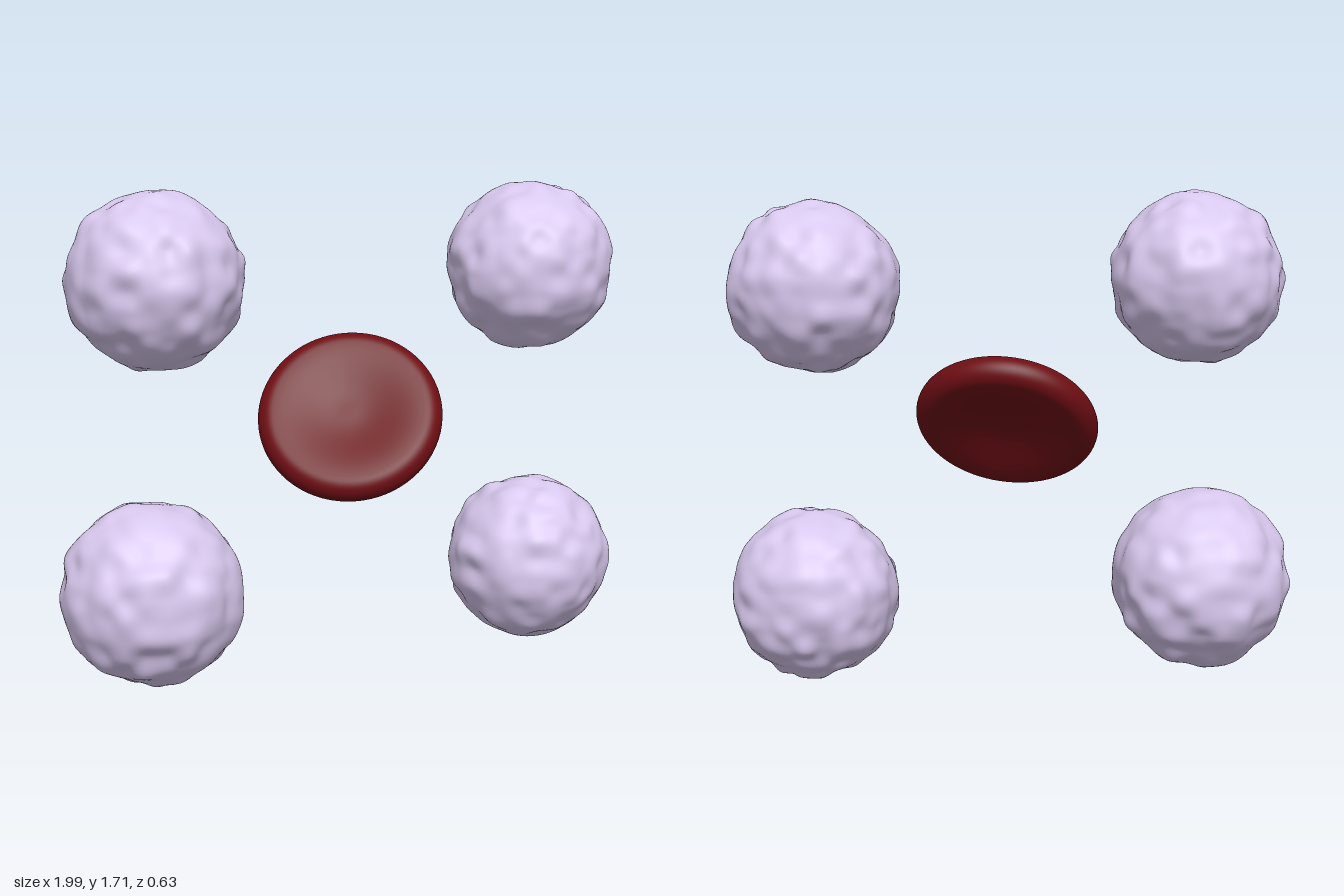
import * as THREE from 'three';
import { mergeVertices } from 'three/addons/utils/BufferGeometryUtils.js';

const lavender = new THREE.MeshStandardMaterial({ color: 0xd8c8ee });
const red = new THREE.MeshStandardMaterial({ color: 0x6e0e14 });

// Repeatable lattice value in -1..1
function hash(x, y, z, seed) {
  const s = Math.sin(x * 127.1 + y * 311.7 + z * 74.7 + seed * 53.3) * 43758.5453;
  return (s - Math.floor(s)) * 2 - 1;
}

// Smooth value noise in 3D
function noise(p, seed) {
  const i = p.clone().floor();
  const f = p.clone().sub(i);
  const s = (t) => t * t * (3 - 2 * t);
  let sum = 0;
  for (let c = 0; c < 8; c++) {
    const a = c & 1, b = (c >> 1) & 1, d = c >> 2;
    const w = (a ? s(f.x) : 1 - s(f.x)) * (b ? s(f.y) : 1 - s(f.y)) * (d ? s(f.z) : 1 - s(f.z));
    sum += w * hash(i.x + a, i.y + b, i.z + d, seed);
  }
  return sum;
}

// Lumpy round cell: a unit sphere pushed in and out by noise
function lumpyCell(name, radius, x, y, seed) {
  let geo = new THREE.IcosahedronGeometry(1, 24);
  geo.deleteAttribute('normal');
  geo.deleteAttribute('uv');
  geo = mergeVertices(geo, 1e-4);
  const pos = geo.attributes.position;
  const v = new THREE.Vector3();
  for (let i = 0; i < pos.count; i++) {
    v.fromBufferAttribute(pos, i).normalize();
    const bump = noise(v.clone().multiplyScalar(4.5), seed);
    v.multiplyScalar(radius * (0.975 + 0.045 * bump));
    pos.setXYZ(i, v.x, v.y, v.z);
  }
  geo.computeVertexNormals();
  const mesh = new THREE.Mesh(geo, lavender);
  mesh.name = name;
  mesh.position.set(x, y, 0);
  return mesh;
}

// Disc cell, dimpled on both faces, with a fat rounded rim
function dimpledDisc() {
  const R = 0.32, half = 0.056, centre = 0.028;
  const points = [];
  const steps = 64;
  for (let i = 0; i <= steps; i++) {
    const a = -Math.PI / 2 + (Math.PI * i) / steps;
    const r = i === 0 || i === steps ? 0 : R * Math.cos(a);
    const t = r / R;
    // Face height rises from the dimple to the rim, then rounds over
    const rise = THREE.MathUtils.smoothstep(t, 0.1, 0.8);
    const face = centre + (half - centre) * rise;
    const round = t > 0.825 ? Math.sqrt(Math.max(0, 1 - ((t - 0.825) / 0.175) ** 2)) : 1;
    points.push(new THREE.Vector2(r, Math.sign(a) * face * round));
  }
  const mesh = new THREE.Mesh(new THREE.LatheGeometry(points, 72), red);
  mesh.name = 'dimpledDisc';
  const axis = new THREE.Vector3(-0.27, 0.633, 0.725).normalize();
  mesh.quaternion.setFromUnitVectors(new THREE.Vector3(0, 1, 0), axis);
  mesh.position.set(0.02, 0.93, 0.038);
  return mesh;
}

export function createModel() {
  const group = new THREE.Group();
  group.name = 'cells';
  group.add(
    lumpyCell('upperRightCell', 0.306, -0.645, 1.425, 1),
    lumpyCell('upperLeftCell', 0.295, 0.685, 1.425, 2),
    lumpyCell('lowerRightCell', 0.324, -0.68, 0.335, 3),
    lumpyCell('lowerLeftCell', 0.296, 0.703, 0.358, 4),
    dimpledDisc()
  );
  return group;
}
